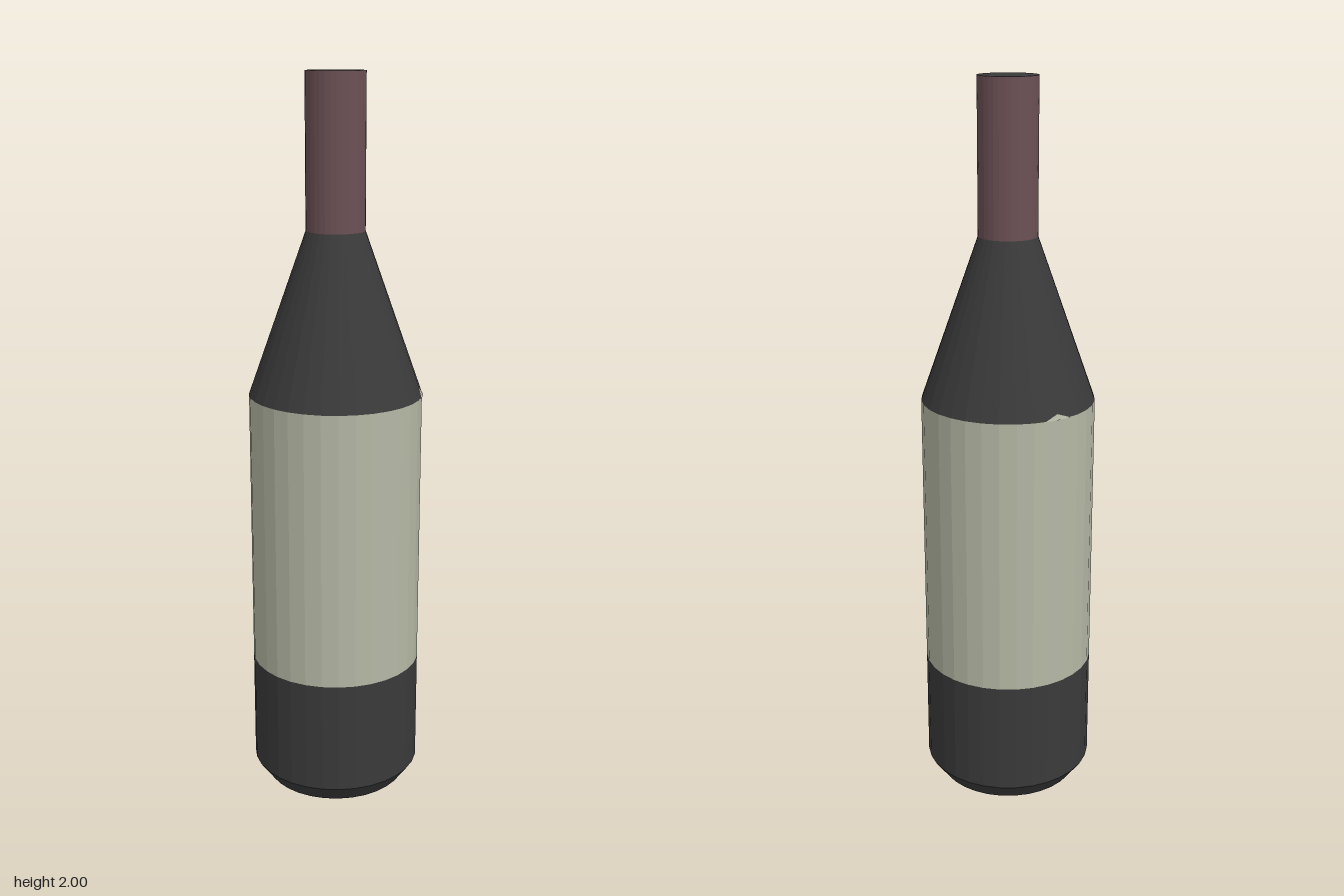
import * as THREE from 'three';

const SIDES = 32;
const BODY_R = 0.238, NECK_R = 0.08;
const LABEL_TOP = 1.145, NECK_BASE = 1.59;

function flat(name, hex) {
  const m = new THREE.MeshStandardMaterial({ color: hex, flatShading: true });
  m.name = name;
  return m;
}

// Point just above the sloping shoulder at an angle and height
function onShoulder(phi, y) {
  const t = (y - LABEL_TOP) / (NECK_BASE - LABEL_TOP);
  const r = THREE.MathUtils.lerp(BODY_R, NECK_R, t) + 0.002;
  return [r * Math.sin(phi), y, r * Math.cos(phi)];
}

export function createModel() {
  const group = new THREE.Group();
  group.name = 'bottle';
  const glass = flat('darkGlass', 0x3a3a3a);
  const paper = flat('labelPaper', 0xb5b8a5);
  const foil = flat('neckFoil', 0x6c5156);

  const add = (name, geometry, material) => {
    const mesh = new THREE.Mesh(geometry, material);
    mesh.name = name;
    group.add(mesh);
  };
  const ring = (name, profile, material) => add(name,
    new THREE.LatheGeometry(profile.map(([r, y]) => new THREE.Vector2(r, y)), SIDES), material);

  // Stacked sections of one turned profile
  ring('base', [[0, 0], [0.2, 0], [BODY_R, 0.052], [BODY_R, 0.37]], glass);
  ring('label', [[BODY_R, 0.37], [BODY_R, LABEL_TOP]], paper);
  ring('shoulder', [[BODY_R, LABEL_TOP], [NECK_R, NECK_BASE]], glass);
  ring('neckWrap', [[NECK_R, NECK_BASE], [NECK_R, 2]], foil);
  ring('topCap', [[NECK_R, 2], [0, 2]], glass);

  // Small torn peaks of the label reaching onto the shoulder
  const peak = (name, phi, half, height) => {
    const left = onShoulder(phi - half, LABEL_TOP);
    const mid = onShoulder(phi, LABEL_TOP);
    const right = onShoulder(phi + half, LABEL_TOP);
    const tip = onShoulder(phi, LABEL_TOP + height);
    const g = new THREE.BufferGeometry();
    g.setAttribute('position', new THREE.Float32BufferAttribute(
      [left, mid, tip, mid, right, tip].flat(), 3));
    g.computeVertexNormals();
    add(name, g, paper);
  };
  peak('labelPeakSide', THREE.MathUtils.degToRad(78.75), 0.126, 0.028);
  peak('labelPeakBack', THREE.MathUtils.degToRad(219), 0.17, 0.015);

  return group;
}
